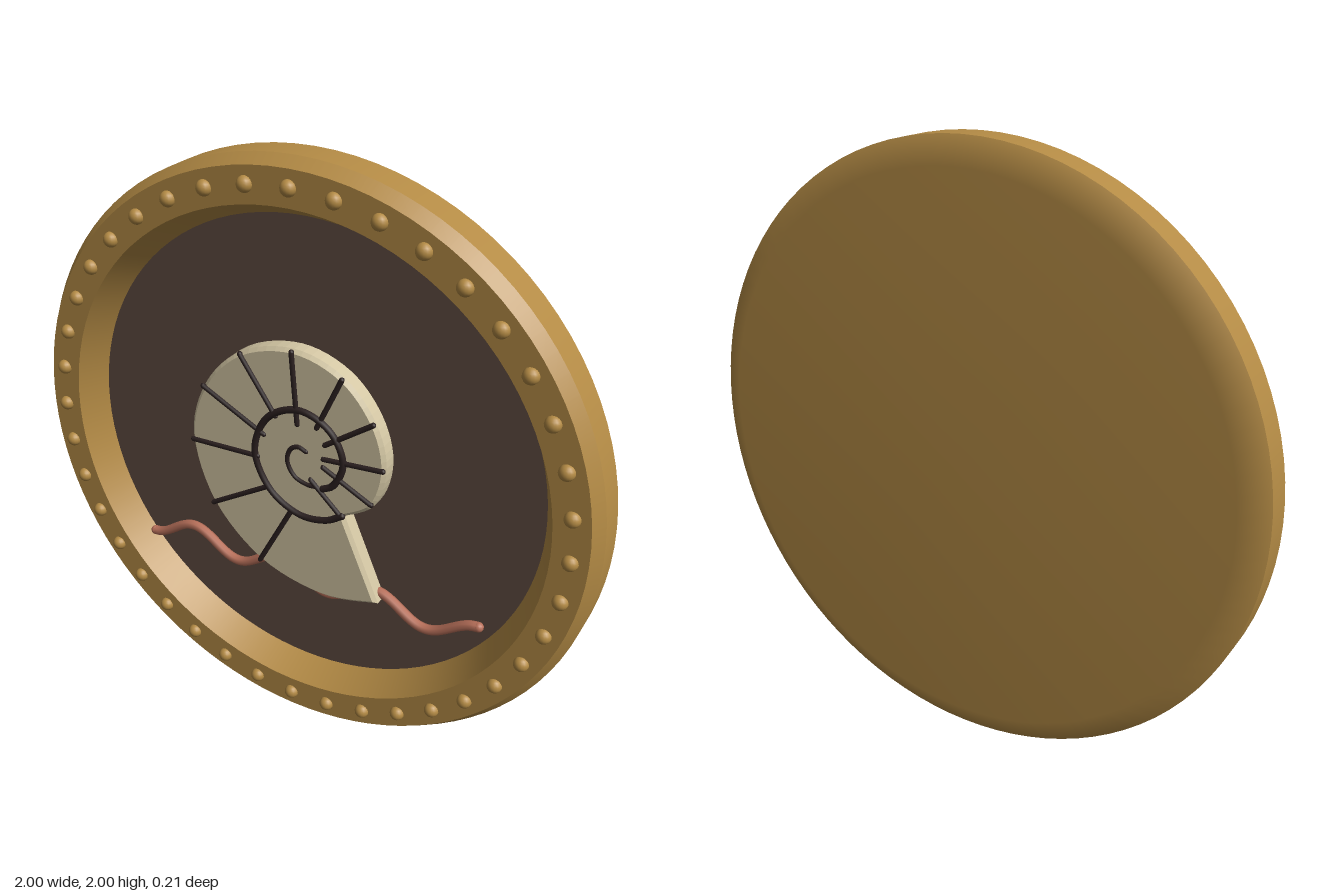
import * as THREE from 'three';

const mat = (name, color) => {
  const m = new THREE.MeshStandardMaterial({ color });
  m.name = name;
  return m;
};

export function createModel() {
  const gold = mat('gold', 0xb48b45);
  const brown = mat('dark brown', 0x5f4b40);
  const bone = mat('bone', 0xd4c7a4);
  const ink = mat('ink', 0x2a1f1f);
  const coral = mat('coral', 0xb8705a);

  // The medallion is built around its own centre, facing +z
  const model = new THREE.Group();
  model.name = 'medallion';
  const body = new THREE.Group();
  body.name = 'body';
  body.position.y = 1;
  model.add(body);

  const add = (name, geometry, material, parent = body) => {
    const mesh = new THREE.Mesh(geometry, material);
    mesh.name = name;
    parent.add(mesh);
    return mesh;
  };
  const group = (name) => {
    const g = new THREE.Group();
    g.name = name;
    body.add(g);
    return g;
  };
  const vecs = (pts) => pts.map(([x, y]) => new THREE.Vector2(x, y));

  // Frame: one turned band per profile run, [radius, z], so edges between runs stay sharp
  const frame = group('frame');
  const bands = {
    back: [[0, -0.105], [0.915, -0.105], [1, -0.06]],
    side: [[1, -0.06], [1, 0.04]],
    frontBevel: [[1, 0.04], [0.972, 0.08]],
    frontFace: [[0.972, 0.08], [0.86, 0.08]],
    innerWall: [[0.86, 0.08], [0.81, -0.02]],
  };
  for (const [name, pts] of Object.entries(bands)) {
    add(name, new THREE.LatheGeometry(vecs(pts), 96).rotateX(Math.PI / 2), gold, frame);
  }

  // Recessed floor
  add('floor', new THREE.CircleGeometry(0.812, 96), brown).position.z = -0.02;

  // Ring of round studs
  const studs = group('studs');
  const studGeometry = new THREE.SphereGeometry(0.025, 16, 10);
  for (let i = 0; i < 40; i++) {
    const a = (i / 40) * Math.PI * 2;
    add('stud', studGeometry, gold, studs).position.set(0.918 * Math.cos(a), 0.918 * Math.sin(a), 0.08);
  }

  // Spiral shell, cut straight across at its mouth
  const outline = new THREE.SplineCurve(vecs([
    [0.3, -0.435], [0.09, -0.48], [-0.15, -0.422], [-0.337, -0.246], [-0.412, -0.005],
    [-0.353, 0.203], [-0.21, 0.353], [-0.016, 0.408], [0.155, 0.358], [0.267, 0.235],
    [0.31, 0.086], [0.273, -0.06], [0.17, -0.134],
  ]));
  const shellGeometry = new THREE.ExtrudeGeometry(new THREE.Shape(outline.getPoints(72)), {
    depth: 0.045, bevelEnabled: true, bevelThickness: 0.012, bevelSize: 0.012,
    bevelOffset: -0.012, bevelSegments: 1,
  });
  const shellFront = 0.037;
  add('shell', shellGeometry, bone).position.z = shellFront - 0.057;

  // Dark line work on the shell face
  const lines = group('shellLines');
  const drawLine = (name, pts, radius, segments) => {
    const path = new THREE.CatmullRomCurve3(pts.map(([x, y]) => new THREE.Vector3(x, y, shellFront)));
    add(name, new THREE.TubeGeometry(path, segments, radius, 8), ink, lines);
    for (const t of [0, 1]) {
      add('lineEnd', new THREE.SphereGeometry(radius, 8, 6), ink, lines).position.copy(path.getPoint(t));
    }
  };
  drawLine('innerWhorl', [
    [0.165, -0.13], [0.11, -0.165], [0.01, -0.177], [-0.1, -0.118], [-0.16, 0.016], [-0.11, 0.15],
    [0.01, 0.209], [0.12, 0.165], [0.166, 0.064], [0.128, -0.03], [0.095, -0.05],
  ], 0.012, 80);
  drawLine('centreCurl', [
    [0.075, -0.05], [0.035, -0.052], [-0.01, -0.035], [-0.037, 0.015], [-0.025, 0.06], [0.005, 0.077], [0.032, 0.068],
  ], 0.008, 36);

  // Ribs: outer x, outer y, inner x, inner y
  const ribs = [
    [-0.15, -0.418, -0.027, -0.18], [-0.335, -0.245, -0.115, -0.11], [-0.406, -0.015, -0.15, -0.003],
    [-0.355, 0.198, -0.125, 0.085], [-0.208, 0.348, -0.08, 0.165], [-0.02, 0.4, 0, 0.158],
    [0.155, 0.352, 0.07, 0.165], [0.265, 0.23, 0.1, 0.112], [0.303, 0.08, 0.095, 0.06],
    [0.267, -0.053, 0.095, 0.03], [0.165, -0.135, 0.05, -0.03],
  ];
  for (const [x1, y1, x2, y2] of ribs) drawLine('rib', [[x1, y1], [x2, y2]], 0.009, 1);

  // Wavy strand running behind the shell
  const wave = [];
  for (let i = 0; i <= 56; i++) {
    const t = i / 56;
    wave.push(new THREE.Vector3(-0.64 + 1.28 * t, -0.455 - 0.042 * Math.cos(7 * Math.PI * t), -0.008));
  }
  const wavePath = new THREE.CatmullRomCurve3(wave);
  add('wavyStrand', new THREE.TubeGeometry(wavePath, 112, 0.017, 8), coral);
  for (const t of [0, 1]) {
    add('strandEnd', new THREE.SphereGeometry(0.017, 12, 8), coral).position.copy(wavePath.getPoint(t));
  }

  return model;
}
